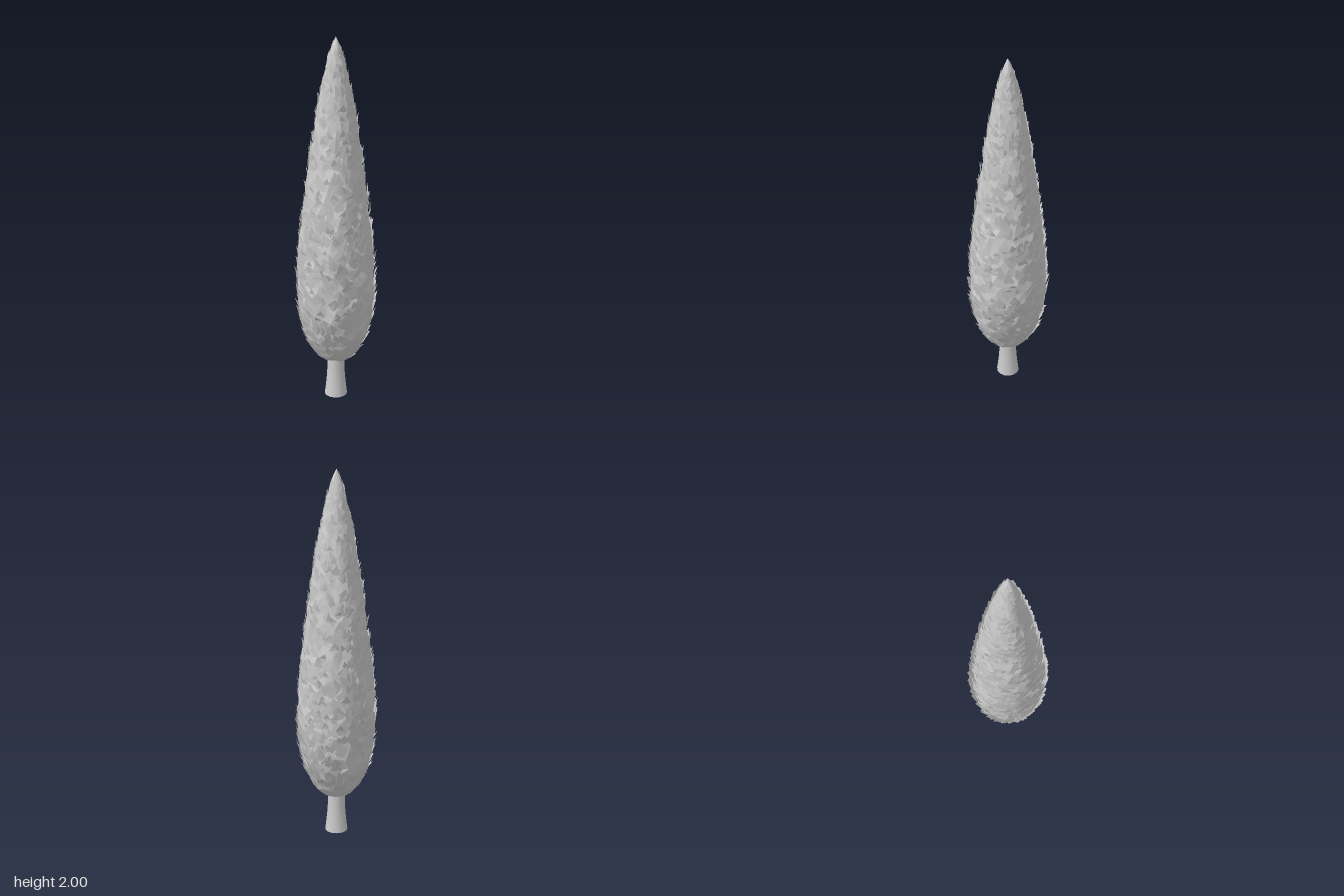
import * as THREE from 'three';

// Seeded random numbers
function makeRandom(seed) {
  let s = seed;
  return () => {
    s = (s * 1664525 + 1013904223) % 4294967296;
    return s / 4294967296;
  };
}

// Foliage outline: [height, radius]
const OUTLINE = [
  [0.21, 0.03], [0.23, 0.085], [0.27, 0.12], [0.33, 0.152], [0.4, 0.178], [0.5, 0.199],
  [0.62, 0.209], [0.75, 0.207], [0.9, 0.196], [1.05, 0.18], [1.2, 0.161], [1.4, 0.133],
  [1.6, 0.101], [1.75, 0.073], [1.87, 0.046], [1.95, 0.024], [2.0, 0.001],
];

function radiusAt(y) {
  for (let i = 1; i < OUTLINE.length; i++) {
    const [y0, r0] = OUTLINE[i - 1], [y1, r1] = OUTLINE[i];
    if (y <= y1) return r0 + (r1 - r0) * Math.max(0, (y - y0) / (y1 - y0));
  }
  return 0;
}

function polar(a, r, y) {
  return new THREE.Vector3(Math.sin(a) * r, y, Math.cos(a) * r);
}

// Crumpled inner body: a revolved outline with every ring point nudged
function crownGeometry(rand) {
  const rows = 36, cols = 26, pos = [], index = [];
  for (let i = 0; i <= rows; i++) {
    const t = i / rows;
    const y0 = 0.21 + 1.79 * (0.35 * t * t * (3 - 2 * t) + 0.65 * t);
    const inner = i > 0 && i < rows;
    for (let j = 0; j < cols; j++) {
      const y = y0 + (inner ? (rand() - 0.5) * 0.03 : 0);
      const a = ((j + (i % 2) / 2 + (rand() - 0.5) * 0.5) / cols) * Math.PI * 2;
      const r = radiusAt(y) * (inner ? 0.94 + rand() * 0.08 : 1);
      pos.push(...polar(a, r, y).toArray());
    }
  }
  for (let i = 0; i < rows; i++) {
    for (let j = 0; j < cols; j++) {
      const k = (j + 1) % cols;
      const a = i * cols + j, b = i * cols + k, c = a + cols, d = b + cols;
      if (i % 2) index.push(a, b, d, a, d, c);
      else index.push(a, b, c, b, d, c);
    }
  }
  // Closed underside
  const centre = pos.length / 3;
  pos.push(0, 0.21, 0);
  for (let j = 0; j < cols; j++) index.push(centre, (j + 1) % cols, j);
  return buildGeometry(pos, index);
}

// Leafy flakes: small folded kites that follow the outline and lift at the tip
function flakeGeometry(rand, count) {
  const pos = [], index = [];
  while (index.length < count * 6) {
    const y = 0.225 + rand() * 1.68;
    const r = radiusAt(y);
    if (rand() > 0.12 + r / 0.21) continue;
    const a = rand() * Math.PI * 2;
    const size = 0.55 + rand() * 0.65;
    const half = (0.028 * size) / Math.max(r, 0.05);
    const tall = 0.085 * size;
    const lean = (rand() - 0.5) * half * 2;
    const lift = 0.004 + 0.014 * rand() * Math.min(1, r / 0.12);
    const n = pos.length / 3;
    const top = Math.min(y + tall, 1.99), mid = y + tall * (0.3 + rand() * 0.3);
    const base = polar(a, r * 0.97, y);
    const right = polar(a + half, radiusAt(mid) * 0.99 + rand() * 0.006, mid);
    const tip = polar(a + lean, radiusAt(top) + lift, top);
    const left = polar(a - half, radiusAt(mid) * 0.99 + rand() * 0.006, mid);
    for (const p of [base, right, tip, left]) pos.push(p.x, p.y, p.z);
    if (rand() < 0.5) index.push(n, n + 1, n + 2, n, n + 2, n + 3);
    else index.push(n, n + 1, n + 3, n + 1, n + 2, n + 3);
  }
  return buildGeometry(pos, index);
}

function buildGeometry(pos, index) {
  const geometry = new THREE.BufferGeometry();
  geometry.setAttribute('position', new THREE.Float32BufferAttribute(pos, 3));
  geometry.setIndex(index);
  geometry.computeVertexNormals();
  return geometry;
}

export function createModel() {
  const group = new THREE.Group();
  group.name = 'cypressTree';
  const rand = makeRandom(71);
  const leafMaterial = new THREE.MeshStandardMaterial({
    color: 0xcccccc, flatShading: true, side: THREE.DoubleSide,
  });
  const barkMaterial = new THREE.MeshStandardMaterial({ color: 0xcccccc, side: THREE.DoubleSide });

  const add = (name, geometry, material) => {
    const mesh = new THREE.Mesh(geometry, material);
    mesh.name = name;
    group.add(mesh);
  };

  // Open trunk with a flared foot
  const trunk = [[0.062, 0], [0.056, 0.05], [0.051, 0.1], [0.047, 0.16], [0.046, 0.25]]
    .map(([r, y]) => new THREE.Vector2(r, y));
  add('trunk', new THREE.LatheGeometry(trunk, 14), barkMaterial);

  add('crown', crownGeometry(rand), leafMaterial);
  add('leafFlakes', flakeGeometry(rand, 1100), leafMaterial);
  return group;
}
